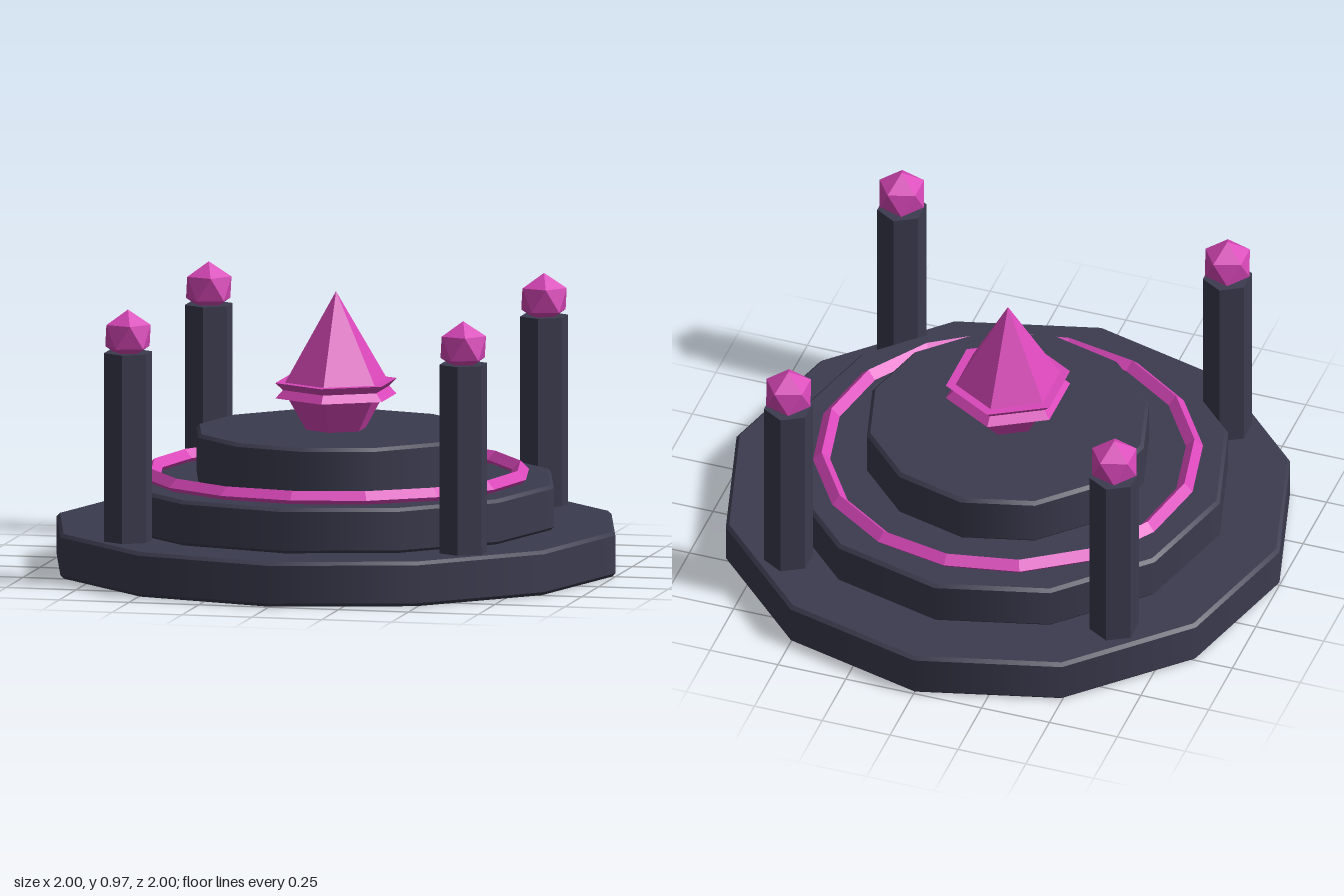
import * as THREE from 'three';

export function createModel() {
  const model = new THREE.Group();
  model.name = 'crystalShrine';

  const stone = new THREE.MeshStandardMaterial({ color: 0x3b3b4f });
  stone.name = 'darkStone';
  const facetedStone = stone.clone();
  facetedStone.flatShading = true;
  facetedStone.name = 'darkStoneFaceted';
  const crystal = new THREE.MeshStandardMaterial({ color: 0xd947b9, flatShading: true });
  crystal.name = 'magentaCrystal';

  function add(name, geometry, material, x = 0, y = 0, z = 0) {
    const mesh = new THREE.Mesh(geometry, material);
    mesh.name = name;
    mesh.position.set(x, y, z);
    model.add(mesh);
    return mesh;
  }

  const toPoints = (list) => list.map(([r, y]) => new THREE.Vector2(r, y));

  // Twelve-sided tier with a small bevel; doubled points keep its edges crisp
  function tierGeometry(radius, y0, y1) {
    const b = 0.012;
    const corners = [
      [radius - b, y0], [radius, y0 + b], [radius, y1 - b], [radius - b, y1],
    ];
    const profile = [[0, y0], ...corners.flatMap((p) => [p, p]), [0, y1]];
    return new THREE.LatheGeometry(toPoints(profile), 12);
  }

  // Stepped base
  add('baseTier', tierGeometry(1, 0, 0.157), stone);
  add('middleTier', tierGeometry(0.78, 0.155, 0.315), stone);
  add('topTier', tierGeometry(0.5, 0.313, 0.487), stone);

  // Glowing ring with a diamond section lying on the middle tier
  const ring = new THREE.TorusGeometry(0.65, 0.03, 4, 16);
  ring.rotateX(Math.PI / 2);
  add('glowRing', ring, crystal, 0, 0.33, 0);

  // Corner pillars, each topped with a point-up icosahedron
  const pillar = new THREE.CylinderGeometry(0.087, 0.087, 0.67, 6);
  const orb = new THREE.IcosahedronGeometry(0.091, 0);
  orb.rotateZ(-Math.atan(2 / (1 + Math.sqrt(5))));
  for (const [side, x] of [['Left', 0.6], ['Right', -0.6]]) {
    for (const [end, z] of [['front', 0.6], ['back', -0.6]]) {
      add(`${end}${side}Pillar`, pillar, facetedStone, x, 0.485, z);
      add(`${end}${side}Orb`, orb, crystal, x, 0.879, z);
    }
  }

  // Central six-sided crystal: lower point, pinched girdle and spire
  const crystalProfile = toPoints([
    [0, 0.3], [0.175, 0.602], [0.22, 0.602], [0.193, 0.63],
    [0.22, 0.656], [0.185, 0.656], [0, 0.97],
  ]);
  add('centralCrystal', new THREE.LatheGeometry(crystalProfile, 6), crystal);

  return model;
}
